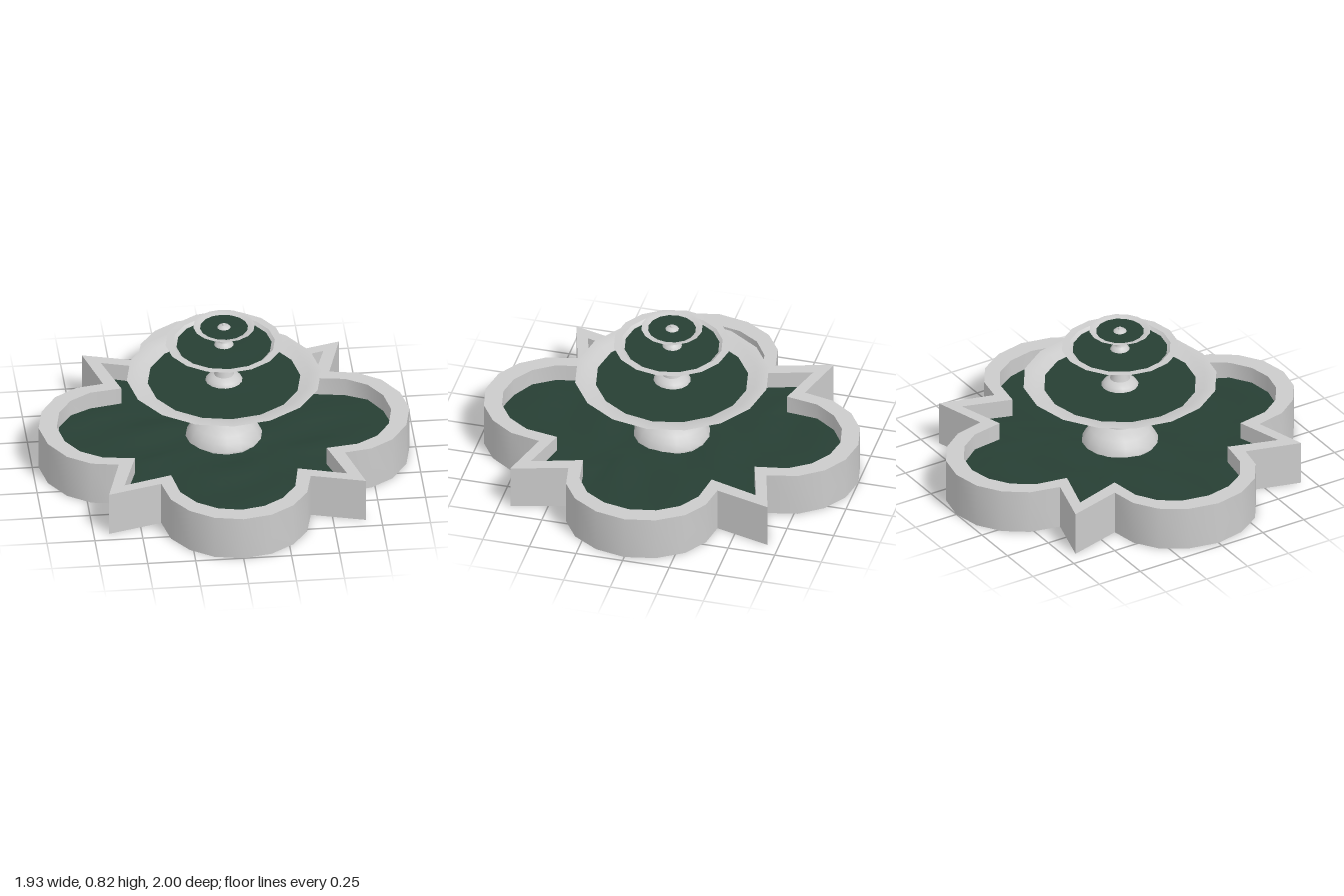
import * as THREE from 'three';
import { toCreasedNormals } from 'three/addons/utils/BufferGeometryUtils.js';

const stone = new THREE.MeshStandardMaterial({ color: 0xcccccc });
const water = new THREE.MeshStandardMaterial({ color: 0x273f34, side: THREE.DoubleSide });

// One quarter of each outline, from the front axis to the side axis
const OUTER = [[0, 1], [0.15, 0.97], [0.27, 0.89], [0.355, 0.77], [0.39, 0.61], [0.67, 0.69],
  [0.59, 0.4], [0.73, 0.375], [0.85, 0.295], [0.935, 0.16], [0.967, 0]];
const INNER = [[0, 0.905], [0.12, 0.88], [0.225, 0.81], [0.3, 0.7], [0.33, 0.53], [0.58, 0.605],
  [0.5, 0.345], [0.665, 0.32], [0.775, 0.25], [0.845, 0.14], [0.872, 0]];

// Mirrors a quarter into a closed loop
function closeLoop(quarter) {
  const right = [...quarter, ...quarter.slice(0, -1).reverse().map(([x, y]) => [x, -y])];
  const left = right.slice(1, -1).reverse().map(([x, y]) => [-x, y]);
  return [...right, ...left].map(([x, y]) => new THREE.Vector2(x, y));
}

function add(group, name, geometry, material = stone) {
  const mesh = new THREE.Mesh(geometry, material);
  mesh.name = name;
  group.add(mesh);
}

function slab(shape, depth) {
  const geometry = new THREE.ExtrudeGeometry(shape, { depth, bevelEnabled: false });
  geometry.rotateX(-Math.PI / 2);
  return toCreasedNormals(geometry, 0.7);
}

function turned(profile) {
  const points = profile.map(([r, y]) => new THREE.Vector2(r, y));
  return toCreasedNormals(new THREE.LatheGeometry(points, 16), 0.6);
}

// Gently rippled surface: shrinking copies of an outline
function rippled(loop, y, amount, rings) {
  const n = loop.length, position = [], index = [];
  for (let k = 0; k <= rings; k++) {
    for (const p of loop) {
      const x = p.x * k / rings, z = p.y * k / rings;
      const wave = Math.sin(9 * x + 21 * z) * 0.6 + Math.sin(17 * z - 5 * x + 1) * 0.4;
      position.push(x, y + amount * wave, z);
    }
  }
  for (let k = 0; k < rings; k++) {
    for (let i = 0; i < n; i++) {
      const a = k * n + i, b = k * n + (i + 1) % n;
      if (k > 0) index.push(a, b + n, b);
      index.push(a, a + n, b + n);
    }
  }
  const geometry = new THREE.BufferGeometry();
  geometry.setAttribute('position', new THREE.Float32BufferAttribute(position, 3));
  geometry.setIndex(index);
  geometry.computeVertexNormals();
  return geometry;
}

function circle(radius) {
  return Array.from({ length: 16 }, (_, i) => {
    const a = i / 16 * Math.PI * 2;
    return new THREE.Vector2(radius * Math.sin(a), radius * Math.cos(a));
  });
}

export function createModel() {
  const fountain = new THREE.Group();
  fountain.name = 'fountain';

  // Four-lobed basin with pointed corners; the hole runs against the outline
  const basin = new THREE.Group();
  basin.name = 'basin';
  fountain.add(basin);
  const wall = new THREE.Shape(closeLoop(OUTER));
  wall.holes.push(new THREE.Path(closeLoop(INNER).reverse()));
  add(basin, 'basinWall', slab(wall, 0.238));
  add(basin, 'basinFloor', slab(new THREE.Shape(closeLoop(INNER)), 0.02));
  add(basin, 'basinWater', rippled(closeLoop(INNER), 0.145, 0.008, 16), water);

  // Rounded feet and tapering columns
  const columns = [
    ['lowerColumn', [[0.2, 0.12], [0.2, 0.148], [0.18, 0.185], [0.155, 0.215], [0.115, 0.238],
      [0.09, 0.25], [0.085, 0.262], [0.045, 0.4]]],
    ['middleColumn', [[0.1, 0.465], [0.098, 0.475], [0.085, 0.492], [0.068, 0.505],
      [0.052, 0.512], [0.048, 0.525], [0.028, 0.635]]],
    ['upperColumn', [[0.055, 0.675], [0.052, 0.687], [0.04, 0.701], [0.03, 0.708],
      [0.026, 0.718], [0.015, 0.77]]],
    ['finial', [[0.04, 0.78], [0.038, 0.79], [0.028, 0.801], [0.012, 0.807], [0.009, 0.814], [0, 0.816]]],
  ];
  for (const [name, profile] of columns) add(fountain, name, turned(profile));

  // Three shallow bowls: rim radius, rim height, depth, lip radius, water radius, water height
  const bowls = [
    ['lowerBowl', 0.507, 0.5, 0.11, 0.445, 0.395, 0.476],
    ['middleBowl', 0.305, 0.703, 0.083, 0.265, 0.245, 0.688],
    ['upperBowl', 0.16, 0.801, 0.042, 0.138, 0.122, 0.793],
  ];
  for (const [name, r, top, depth, lip, wet, level] of bowls) {
    const bowl = new THREE.Group();
    bowl.name = name;
    fountain.add(bowl);
    const under = [0, 0.17, 0.35, 0.55, 0.78, 1].map(t => [r * t, top - depth * (1 - t ** 1.7)]);
    add(bowl, name + 'Shell', turned([...under, [lip, top - 0.002], [wet, level - 0.004], [0, level - 0.006]]));
    add(bowl, name + 'Water', rippled(circle(wet + 0.003), level, 0.0015, 6), water);
  }
  return fountain;
}
